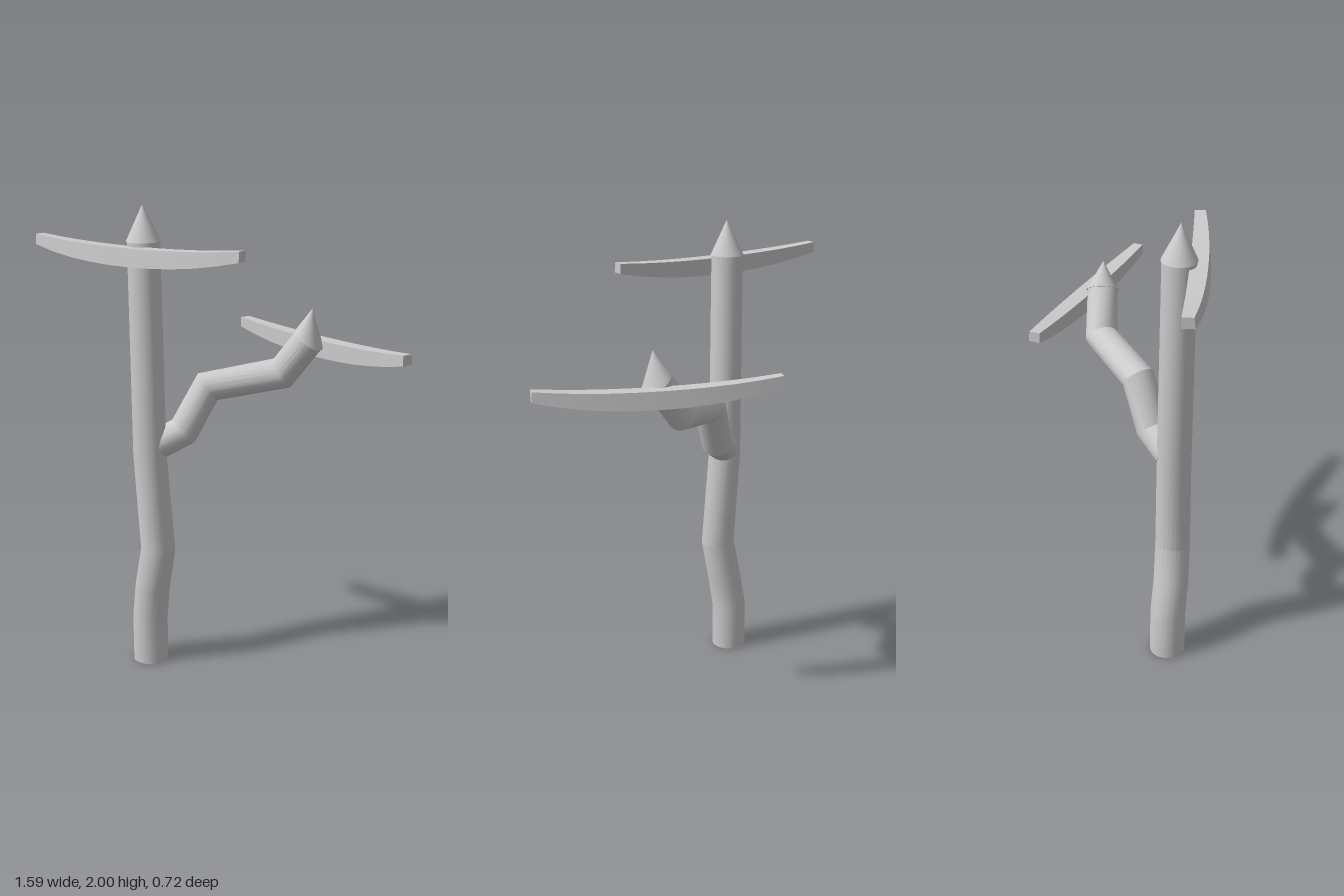
import * as THREE from 'three';
import { toCreasedNormals } from 'three/addons/utils/BufferGeometryUtils.js';

const SIDES = 24;
const V = (p) => new THREE.Vector3(...p);

// Skin a list of equal-length rings and cap both ends.
function loft(rings, crease) {
  const n = rings[0].length;
  const pos = [];
  const tri = (a, b, c) => {
    const area = b.clone().sub(a).cross(c.clone().sub(a)).length();
    if (area > 1e-9) for (const p of [a, b, c]) pos.push(p.x, p.y, p.z);
  };
  for (let i = 0; i < rings.length - 1; i++) {
    for (let j = 0; j < n; j++) {
      const k = (j + 1) % n;
      tri(rings[i][j], rings[i][k], rings[i + 1][k]);
      tri(rings[i][j], rings[i + 1][k], rings[i + 1][j]);
    }
  }
  const first = rings[0], last = rings[rings.length - 1];
  for (let j = 1; j < n - 1; j++) {
    tri(first[0], first[j + 1], first[j]);
    tri(last[0], last[j], last[j + 1]);
  }
  const geo = new THREE.BufferGeometry();
  geo.setAttribute('position', new THREE.Float32BufferAttribute(pos, 3));
  return toCreasedNormals(geo, crease);
}

// Circle around c, facing along the frame's y axis.
function circle(c, r, frame) {
  return Array.from({ length: SIDES }, (_, j) => {
    const a = (j / SIDES) * Math.PI * 2;
    return new THREE.Vector3(Math.sin(a) * r, 0, Math.cos(a) * r).applyQuaternion(frame).add(c);
  });
}

// Rings along a bent path of [x, y, z, radius], mitred at each bend.
function pathRings(path) {
  const pts = path.map((p) => V(p.slice(0, 3)));
  const dirs = pts.slice(1).map((p, i) => p.clone().sub(pts[i]).normalize());
  const frame = new THREE.Quaternion();
  let prev = new THREE.Vector3(0, 1, 0);
  return pts.map((p, i) => {
    const t = dirs[Math.max(i - 1, 0)].clone().add(dirs[Math.min(i, dirs.length - 1)]).normalize();
    frame.premultiply(new THREE.Quaternion().setFromUnitVectors(prev, t));
    prev = t;
    return circle(p, path[i][3], frame);
  });
}

// Pointed cap: the limb's end ring, widened a little and drawn up to a tip.
function spikeRings(endRing, tip) {
  const c = endRing.reduce((s, p) => s.add(p), new THREE.Vector3()).divideScalar(SIDES);
  const base = endRing.map((p) => p.clone().sub(c).multiplyScalar(1.06).add(c));
  return [base, base.map(() => V(tip))];
}

// Crossbar: sags and swells forward towards its middle.
function crossbarGeometry() {
  const rings = [];
  for (let i = 0; i <= 10; i++) {
    const s = i / 5 - 1;
    const k = 1 - Math.pow(Math.abs(s), 2.2);
    const x = s * 0.507;
    const top = 0.095 - 0.022 * k, bottom = 0.052 - 0.052 * k;
    rings.push([
      V([x, top, 0.045 + 0.03 * k]),
      V([x, bottom, 0.05 + 0.035 * k]),
      V([x, bottom, 0.005 * k]),
      V([x, top, 0.005 * k]),
    ]);
  }
  return loft(rings, 0.4);
}

export function createModel() {
  const model = new THREE.Group();
  const material = new THREE.MeshStandardMaterial({ color: 0xcccccc });
  const add = (name, geo) => {
    const mesh = new THREE.Mesh(geo, material);
    mesh.name = name;
    model.add(mesh);
    return mesh;
  };

  // Crooked trunk
  const trunk = pathRings([
    [-0.307, 0, 0.227, 0.076],
    [-0.307, 0.2, 0.227, 0.076],
    [-0.285, 0.35, 0.236, 0.075],
    [-0.25, 0.53, 0.238, 0.074],
    [-0.285, 0.95, 0.238, 0.071],
    [-0.295, 1.85, 0.241, 0.068],
  ]);
  trunk[0].forEach((p) => { p.y = 0; });
  add('trunk', loft(trunk, 0.3));
  add('trunkSpike', loft(spikeRings(trunk[trunk.length - 1], [-0.295, 2, 0.245]), 0.5));

  // Zigzag side branch
  const branch = pathRings([
    [-0.27, 0.985, 0.22, 0.065],
    [-0.178, 1.045, 0.14, 0.068],
    [-0.097, 1.235, 0.075, 0.07],
    [0.16, 1.292, -0.105, 0.07],
    [0.285, 1.45, -0.113, 0.065],
  ]);
  add('branch', loft(branch, 0.3));
  add('branchSpike', loft(spikeRings(branch[branch.length - 1], [0.3, 1.58, -0.11]), 0.5));

  // Curved crossbars
  const bar = crossbarGeometry();
  add('trunkCrossbar', bar).position.set(-0.29, 1.76, 0.275);
  const branchBar = add('branchCrossbar', bar);
  branchBar.position.set(0.298, 1.367, -0.148);
  branchBar.rotation.y = Math.PI - 0.34;

  return model;
}
